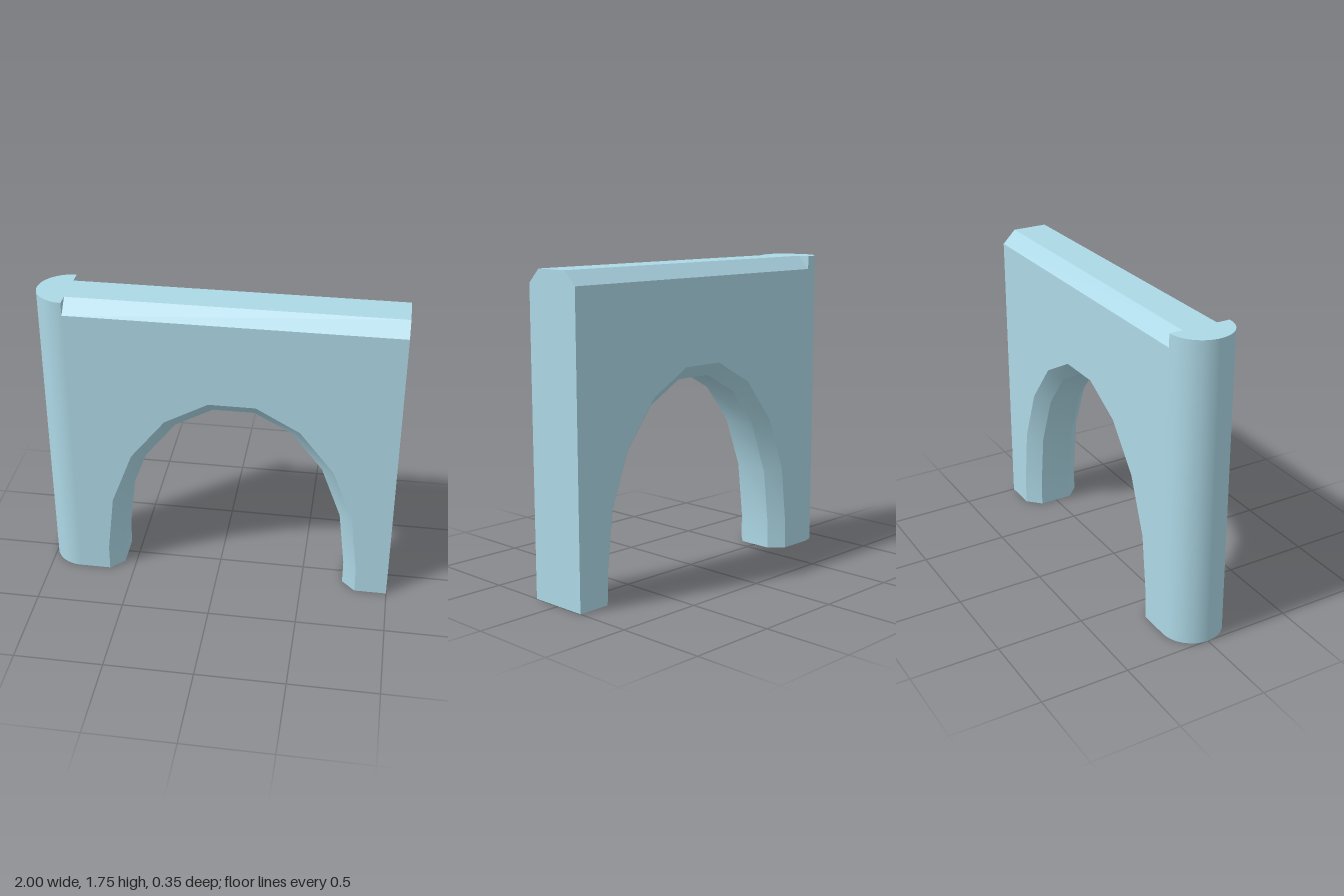
import * as THREE from 'three';
import { toCreasedNormals } from 'three/addons/utils/BufferGeometryUtils.js';

const LEFT = -0.825, RIGHT = 1, HEIGHT = 1.75, HALF = 0.175, BEVEL = 0.075;
const ARCH_X = 0.085;

// Half of the arch opening, from the ground to the crown: [x offset, y]
const WIDE_ARCH = [[0.73, 0], [0.73, 0.15], [0.69, 0.5], [0.57, 0.815], [0.375, 1.06], [0.13, 1.195]];
const NARROW_ARCH = [[0.654, 0], [0.654, 0.145], [0.615, 0.48], [0.5, 0.785], [0.328, 1.003], [0.115, 1.12]];

// Counter-clockwise outline of the wall with its arch opening
function outline(arch, top) {
  return [
    [LEFT, 0],
    ...arch.map(([x, y]) => [ARCH_X - x, y]),
    ...[...arch].reverse().map(([x, y]) => [ARCH_X + x, y]),
    [RIGHT, 0], [RIGHT, top], [LEFT, top],
  ].map(([x, y]) => new THREE.Vector2(x, y));
}

function wallGeometry() {
  const face = outline(WIDE_ARCH, HEIGHT - BEVEL);
  const core = outline(NARROW_ARCH, HEIGHT);
  const sections = [[face, -HALF], [core, BEVEL - HALF], [core, HALF - BEVEL], [face, HALF]];
  const pos = [];
  const put = (p, z) => pos.push(p.x, p.y, z);

  // Bevels and arch soffit; the last edge is covered by the rounded end
  for (let s = 0; s < 3; s++) {
    const [a, za] = sections[s], [b, zb] = sections[s + 1];
    for (let i = 0; i < a.length - 1; i++) {
      put(a[i], za); put(a[i + 1], za); put(b[i + 1], zb);
      put(a[i], za); put(b[i + 1], zb); put(b[i], zb);
    }
  }
  // Front and back faces
  for (const [i, j, k] of THREE.ShapeUtils.triangulateShape(face, [])) {
    put(face[i], HALF); put(face[j], HALF); put(face[k], HALF);
    put(face[k], -HALF); put(face[j], -HALF); put(face[i], -HALF);
  }
  // Small ends of the top bevels, against the rounded end
  const low = new THREE.Vector2(LEFT, HEIGHT - BEVEL), high = new THREE.Vector2(LEFT, HEIGHT);
  put(low, HALF); put(high, HALF - BEVEL); put(high, HALF);
  put(low, -HALF); put(high, -HALF); put(high, BEVEL - HALF);

  const geometry = new THREE.BufferGeometry();
  geometry.setAttribute('position', new THREE.Float32BufferAttribute(pos, 3));
  return toCreasedNormals(geometry, 0.6);
}

export function createModel() {
  const group = new THREE.Group();
  group.name = 'archedWall';
  const material = new THREE.MeshStandardMaterial({ color: 0xadd8e6 });

  const wall = new THREE.Mesh(wallGeometry(), material);
  wall.name = 'wallWithArch';

  // Half-round end at full height
  const end = new THREE.Mesh(
    new THREE.CylinderGeometry(HALF, HALF, HEIGHT, 32, 1, false, Math.PI, Math.PI), material);
  end.name = 'roundedEnd';
  end.position.set(LEFT, HEIGHT / 2, 0);

  group.add(wall, end);
  return group;
}
